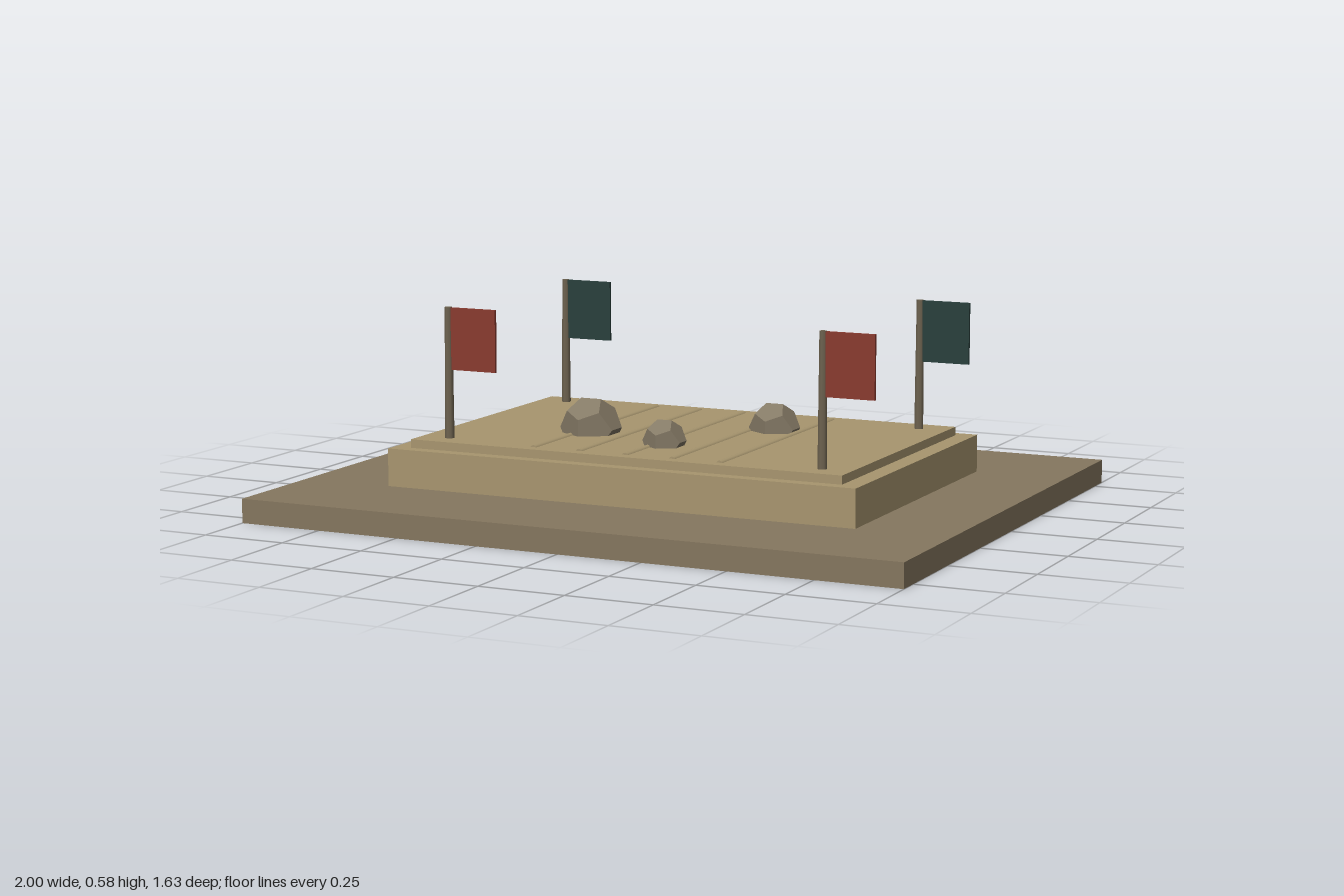
import * as THREE from 'three';

const mat = (name, color, flatShading = false) => {
  const m = new THREE.MeshStandardMaterial({ color, flatShading });
  m.name = name;
  return m;
};

export function createModel() {
  const earth = mat('earth', 0x85775f);
  const sand = mat('sand', 0xa8966f);
  const stone = mat('stone', 0x857a66, true);
  const wood = mat('wood', 0x6e6350);
  const red = mat('red cloth', 0x8a3b30);
  const teal = mat('teal cloth', 0x2a403d);

  const model = new THREE.Group();
  model.name = 'arena';
  const add = (name, geometry, material, x, y, z, parent = model) => {
    const mesh = new THREE.Mesh(geometry, material);
    mesh.name = name;
    mesh.position.set(x, y, z);
    parent.add(mesh);
    return mesh;
  };

  // Stepped platform
  add('ground', new THREE.BoxGeometry(2, 0.07, 1.63), earth, 0, 0.035, 0);
  add('plinth', new THREE.BoxGeometry(1.45, 0.11, 0.944), sand, 0, 0.125, 0);
  add('arenaFloor', new THREE.BoxGeometry(1.34, 0.025, 0.87), sand, 0, 0.1925, 0);

  // Low rounded ridges running front to back, half sunk in the floor
  const ridge = new THREE.CylinderGeometry(0.011, 0.011, 0.8, 12).rotateX(Math.PI / 2);
  for (let i = -2; i <= 2; i++) add('floorRidge', ridge, sand, i * 0.145, 0.2, 0);

  // Boulders: x, y, z, radius
  for (const [x, y, z, r] of [
    [-0.256, 0.221, 0.107, 0.09],
    [0.215, 0.215, -0.148, 0.075],
    [0.034, 0.22, 0.217, 0.063],
  ]) add('boulder', new THREE.DodecahedronGeometry(r), stone, x, y, z);

  // Corner banners, red at the front and teal at the back, all flying toward +x
  const pole = new THREE.CylinderGeometry(0.011, 0.014, 0.38, 8);
  const cloth = new THREE.BoxGeometry(0.145, 0.18, 0.009);
  for (const sx of [-1, 1]) for (const sz of [-1, 1]) {
    const banner = new THREE.Group();
    banner.name = 'banner';
    banner.position.set(sx * 0.582, 0.205, sz * 0.364);
    add('pole', pole, wood, 0, 0.19, 0, banner);
    add('flag', cloth, sz > 0 ? red : teal, 0.081, 0.289, 0, banner);
    model.add(banner);
  }
  return model;
}
